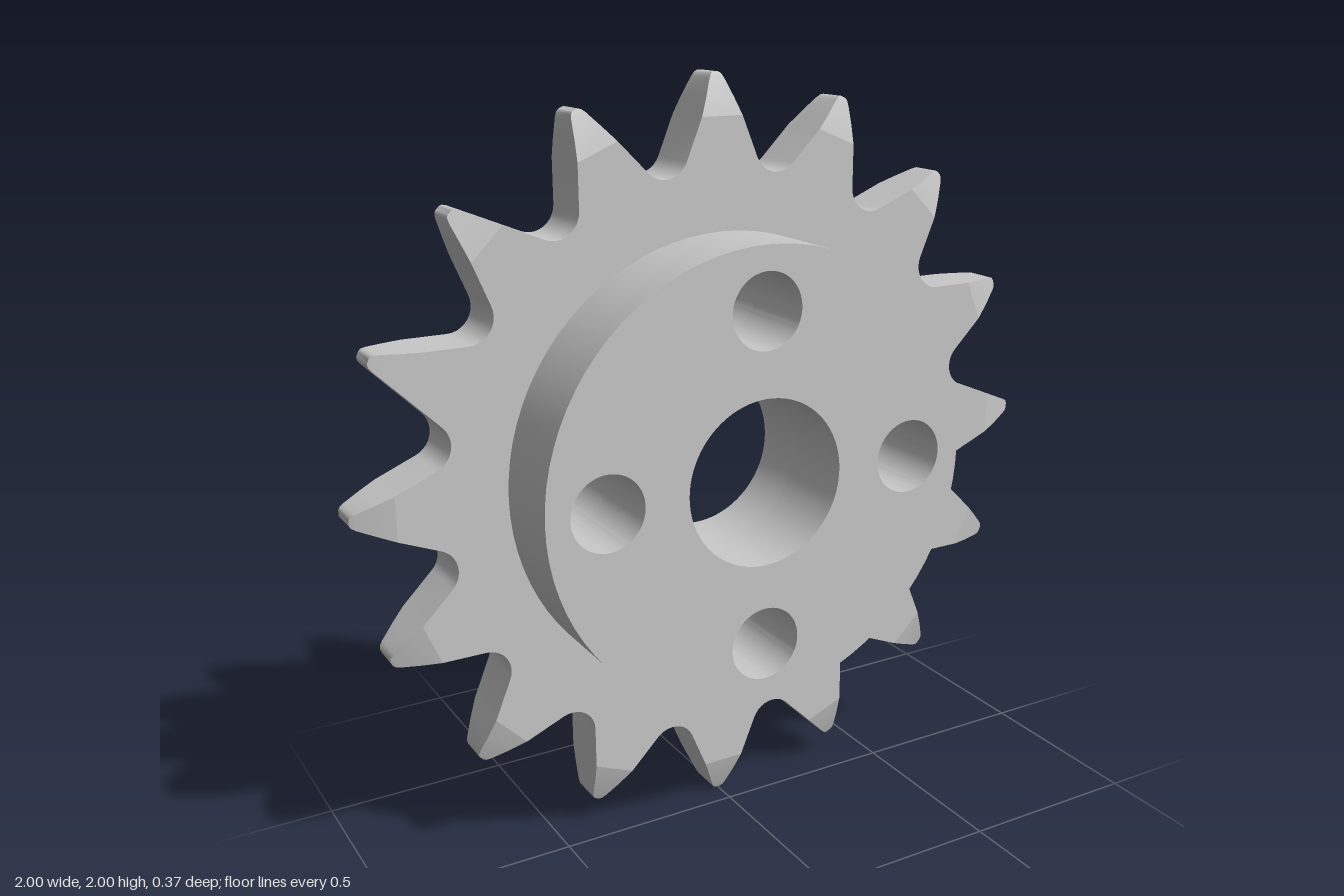
import * as THREE from 'three';
import { toCreasedNormals, mergeGeometries } from 'three/addons/utils/BufferGeometryUtils.js';

const TEETH = 16, STEP = (Math.PI * 2) / TEETH;
const BACK = -0.185, RIM_FRONT = -0.035, HUB_FRONT = 0.185;
const HUB_R = 0.61, BORE_R = 0.223, BOLT_R = 0.1, BOLT_CIRCLE = 0.445;
const ROOT_R = 0.765, TIP_BASE = 0.895;

// Straight flanks lie 22.5 degrees off the tooth axis, FLANK from the centre
const FLANK = 0.396;
const halfWidth = (y) => (FLANK - y * Math.sin(STEP)) / Math.cos(STEP);

// Bore and four bolt holes, shared by rim and hub
function addHoles(shape) {
  const hole = (x, y, r) => shape.holes.push(new THREE.Path().absarc(x, y, r, 0, Math.PI * 2, true));
  hole(0, 0, BORE_R);
  for (let i = 0; i < 4; i++) {
    const a = (i * Math.PI) / 2;
    hole(BOLT_CIRCLE * Math.cos(a), BOLT_CIRCLE * Math.sin(a), BOLT_R);
  }
  return shape;
}

function extrude(shape, z0, z1) {
  const g = new THREE.ExtrudeGeometry(shape, { depth: z1 - z0, bevelEnabled: false, curveSegments: 40 });
  g.translate(0, 0, z0);
  return toCreasedNormals(g, 0.6);
}

// Toothed outline up to the height where the tips start to taper
function rimShape() {
  const half = STEP / 2;
  const k = Math.sin(half + STEP); // valley centre's share along the flank normal
  const r = (ROOT_R * k - FLANK) / (1 - k);
  const cx = (ROOT_R + r) * Math.sin(half), cy = (ROOT_R + r) * Math.cos(half);
  const w = halfWidth(TIP_BASE);
  const tooth = [new THREE.Vector2(-w, TIP_BASE), new THREE.Vector2(w, TIP_BASE)];
  for (let i = 0; i <= 10; i++) {
    const a = Math.PI + STEP + (Math.PI - 3 * STEP) * (i / 10);
    tooth.push(new THREE.Vector2(cx + r * Math.cos(a), cy + r * Math.sin(a)));
  }
  const pts = [];
  for (let t = 0; t < TEETH; t++) {
    for (const p of tooth) pts.push(p.clone().rotateAround(new THREE.Vector2(), -t * STEP));
  }
  // Reversed to run counter-clockwise, opposite to the holes
  return addHoles(new THREE.Shape(pts.reverse()));
}

// Tooth tip: a box whose rows narrow in width and thickness toward the top
function tipGeometry() {
  const rows = [ // height, half width, half thickness
    [TIP_BASE, halfWidth(TIP_BASE), 0.075],
    [0.94, halfWidth(0.94), 0.063],
    [0.985, halfWidth(0.985), 0.047],
    [0.996, 0.014, 0.043],
    [1.0, 0.007, 0.041],
  ];
  const g = new THREE.BoxGeometry(2, 1, 2, 1, rows.length - 1, 1);
  const p = g.attributes.position;
  for (let i = 0; i < p.count; i++) {
    const [y, w, t] = rows[Math.round((p.getY(i) + 0.5) * (rows.length - 1))];
    p.setXYZ(i, p.getX(i) * w, y, p.getZ(i) * t);
  }
  g.translate(0, 0, (BACK + RIM_FRONT) / 2);
  return toCreasedNormals(g, 0.6);
}

export function createModel() {
  const steel = new THREE.MeshStandardMaterial({ color: 0xc8c8c8 });
  steel.name = 'steel grey';
  const model = new THREE.Group();
  model.name = 'sprocket';
  const add = (geometry, name) => {
    const mesh = new THREE.Mesh(geometry, steel);
    mesh.name = name;
    mesh.position.y = 1;
    model.add(mesh);
  };

  add(extrude(rimShape(), BACK, RIM_FRONT), 'toothedRim');

  const tip = tipGeometry();
  const tips = Array.from({ length: TEETH }, (_, i) => tip.clone().rotateZ(-i * STEP));
  add(mergeGeometries(tips), 'toothTips');

  const disc = new THREE.Shape().absarc(0, 0, HUB_R, 0, Math.PI * 2, false);
  add(extrude(addHoles(disc), RIM_FRONT, HUB_FRONT), 'hub');

  return model;
}
